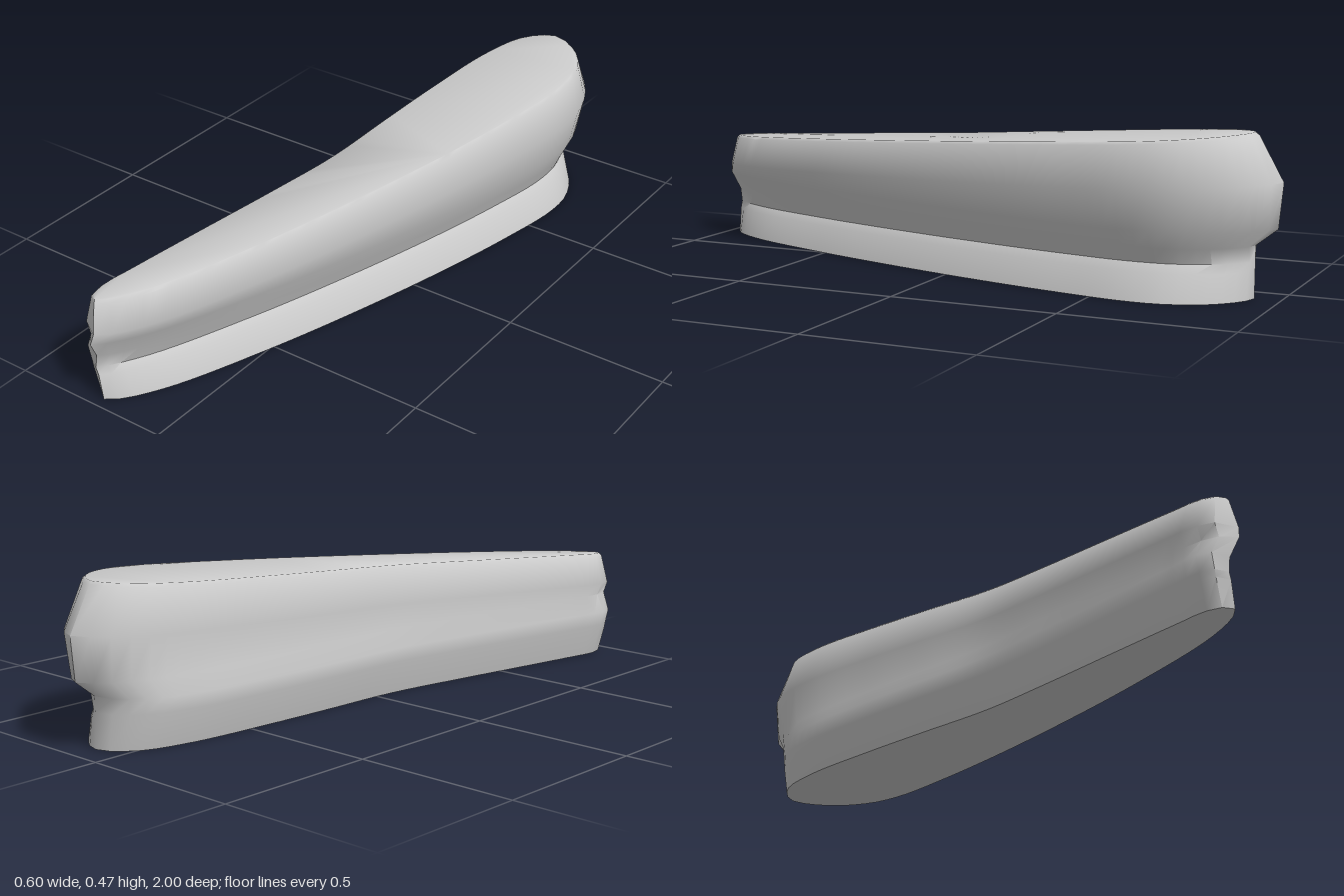
import * as THREE from 'three';
import { toCreasedNormals } from 'three/addons/utils/BufferGeometryUtils.js';

// Plan outline (x, z), counterclockwise seen from above, starting at the back
const OUTLINE = [
  [0.09, -0.925], [0, -0.86], [-0.05, -0.71], [-0.08, -0.43], [-0.095, -0.2],
  [-0.11, 0.06], [-0.15, 0.3], [-0.2, 0.56], [-0.245, 0.8], [-0.262, 0.91],
  [-0.24, 0.97], [-0.2, 0.95], [-0.12, 0.83], [0, 0.52], [0.1, 0.2],
  [0.185, -0.12], [0.245, -0.4], [0.277, -0.62], [0.265, -0.74], [0.2, -0.86],
];

// Wall levels: height at the front and back, then outward offset of each side
const LEVELS = [
  { yf: 0, yb: 0, minX: 0, maxX: 0, front: 0, back: 0 },
  { yf: 0.08, yb: 0.08, minX: 0.023, maxX: -0.027, front: 0, back: 0 },
  { yf: 0.1, yb: 0.105, minX: 0.027, maxX: -0.047, front: 0, back: 0 },
  { yf: 0.145, yb: 0.15, minX: 0.038, maxX: -0.027, front: 0, back: 0 },
  { yf: 0.2, yb: 0.2, minX: 0.01, maxX: -0.005, front: 0.03, back: 0.063 },
  { yf: 0.235, yb: 0.33, minX: 0.025, maxX: 0.02, front: 0.024, back: 0.075 },
  { yf: 0.322, yb: 0.457, minX: 0.002, maxX: 0.002, front: 0.002, back: 0.004 },
  { yf: 0.33, yb: 0.465, minX: -0.007, maxX: -0.007, front: -0.007, back: -0.007 },
];

const COUNT = 96;

function createBodyGeometry() {
  const curve = new THREE.CatmullRomCurve3(
    OUTLINE.map(([x, z]) => new THREE.Vector3(x, 0, z)), true, 'centripetal');
  const positions = [];
  const indices = [];

  // One ring per level, pushed out along the outline's normal
  for (const level of LEVELS) {
    for (let i = 0; i < COUNT; i++) {
      const p = curve.getPointAt(i / COUNT);
      const t = curve.getTangentAt(i / COUNT);
      const nx = -t.z, nz = t.x;
      const along = (0.97 - p.z) / 1.895;
      positions.push(
        p.x + nx * (nx > 0 ? level.maxX : level.minX),
        THREE.MathUtils.lerp(level.yf, level.yb, along),
        p.z + nz * (nz > 0 ? level.front : level.back));
    }
  }

  // Side walls
  for (let j = 0; j < LEVELS.length - 1; j++) {
    for (let i = 0; i < COUNT; i++) {
      const a = j * COUNT + i, b = j * COUNT + (i + 1) % COUNT;
      indices.push(a, b, b + COUNT, a, b + COUNT, a + COUNT);
    }
  }

  // Flat underside and sloping top
  const last = (LEVELS.length - 1) * COUNT;
  const flat = (start) => Array.from({ length: COUNT }, (_, i) =>
    new THREE.Vector2(positions[(start + i) * 3], -positions[(start + i) * 3 + 2]));
  for (const [a, b, c] of THREE.ShapeUtils.triangulateShape(flat(last), [])) {
    indices.push(last + a, last + b, last + c);
  }
  for (const [a, b, c] of THREE.ShapeUtils.triangulateShape(flat(0), [])) {
    indices.push(a, c, b);
  }

  const geometry = new THREE.BufferGeometry();
  geometry.setAttribute('position', new THREE.Float32BufferAttribute(positions, 3));
  geometry.setIndex(indices);
  return toCreasedNormals(geometry, 0.85);
}

export function createModel() {
  const group = new THREE.Group();
  group.name = 'taperedCurvedBlock';
  const body = new THREE.Mesh(
    createBodyGeometry(), new THREE.MeshStandardMaterial({ color: 0xcccccc }));
  body.name = 'body';
  group.add(body);
  return group;
}
